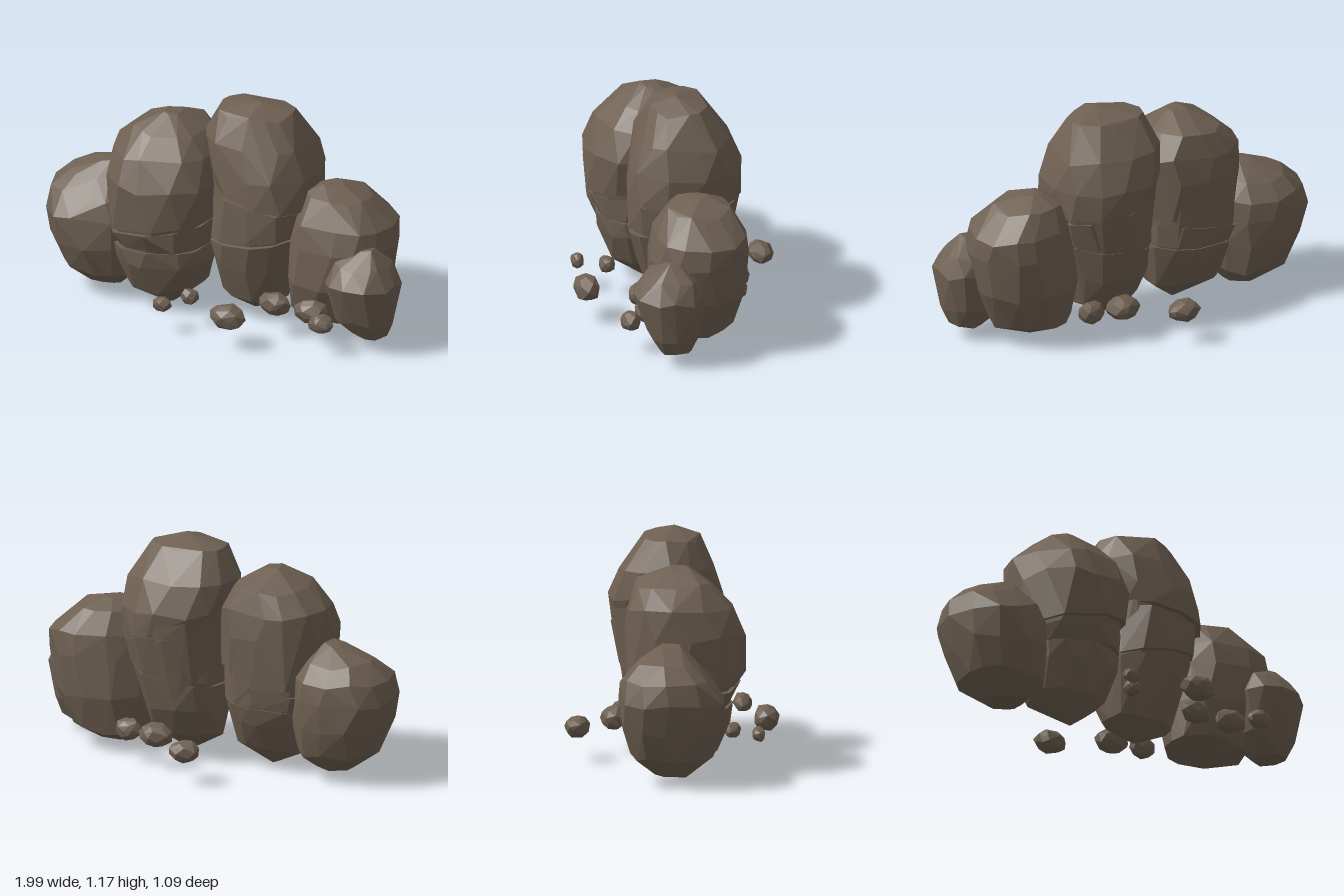
import * as THREE from 'three';
import { ConvexGeometry } from 'three/addons/geometries/ConvexGeometry.js';

const rock = new THREE.MeshStandardMaterial({ color: 0x6e6052, flatShading: true, roughness: 1 });

function seeded(seed) {
  let s = seed * 7919 + 17;
  return () => ((s = (s * 16807) % 2147483647) / 2147483647);
}

// Points of one irregular ring: [y, xMin, xMax, zMin, zMax, tilt of y along x]
function ringPoints([y, x0, x1, z0, z1, tilt = 0], rand, sides = 12) {
  const pts = [];
  for (let i = 0; i < sides; i++) {
    const a = (i + (rand() - 0.5) * 0.5) / sides * Math.PI * 2;
    const c = Math.cos(a), s = Math.sin(a);
    const r = 1.04 - rand() * 0.09;
    const px = Math.sign(c) * Math.abs(c) ** 0.85 * r * (x1 - x0) / 2;
    const pz = Math.sign(s) * Math.abs(s) ** 0.85 * r * (z1 - z0) / 2;
    const wobble = tilt ? 0 : (rand() - 0.5) * 0.03;
    pts.push(new THREE.Vector3((x0 + x1) / 2 + px, y + px * tilt + wobble, (z0 + z1) / 2 + pz));
  }
  return pts;
}

// A boulder is one or more faceted layers; cracked ones get an inner core behind the gaps
function boulder(name, seed, layers) {
  const g = new THREE.Group();
  g.name = name;
  const rand = seeded(seed), all = [];
  layers.forEach((rings, i) => {
    const pts = rings.flatMap((r) => ringPoints(r, rand));
    all.push(...pts);
    const m = new THREE.Mesh(new ConvexGeometry(pts), rock);
    m.name = `${name}Layer${i + 1}`;
    g.add(m);
  });
  if (layers.length > 1) {
    const c = new THREE.Box3().setFromPoints(all).getCenter(new THREE.Vector3());
    const inner = all.map((p) => new THREE.Vector3(
      c.x + (p.x - c.x) * 0.94, c.y + (p.y - c.y) * 0.95, c.z + (p.z - c.z) * 0.94 - 0.012));
    const core = new THREE.Mesh(new ConvexGeometry(inner), rock);
    core.name = `${name}Core`;
    g.add(core);
  }
  return g;
}

// Small loose stone: a dented, stretched hull
function pebble(i, [x, y, z, w, h, d]) {
  const rand = seeded(i + 40), pts = [];
  for (let k = 0; k < 30; k++) {
    const v = 1 - 2 * (k + 0.5) / 30, a = k * 2.4 + rand() * 0.5;
    const r = Math.sqrt(1 - v * v), q = 0.9 + rand() * 0.16;
    pts.push(new THREE.Vector3(r * Math.cos(a) * q * w / 2, v * q * h / 2, r * Math.sin(a) * q * d / 2));
  }
  const m = new THREE.Mesh(new ConvexGeometry(pts), rock);
  m.name = `pebble${i + 1}`;
  m.position.set(x, y, z);
  return m;
}

export function createModel() {
  const model = new THREE.Group();
  model.name = 'rockFormation';

  model.add(boulder('farRightBoulder', 3, [[
    [0.06, -0.76, -0.56, -0.10, 0.10],
    [0.15, -0.90, -0.48, -0.22, 0.20],
    [0.30, -0.95, -0.46, -0.27, 0.26],
    [0.45, -1.00, -0.46, -0.29, 0.26],
    [0.55, -0.97, -0.48, -0.27, 0.20],
    [0.63, -0.88, -0.54, -0.20, 0.12],
    [0.70, -0.72, -0.62, -0.08, 0.04],
  ]]));

  model.add(boulder('rightBoulder', 5, [
    [
      [0.02, -0.33, -0.29, 0.03, 0.07],
      [0.12, -0.53, -0.12, -0.12, 0.22],
      [0.28, -0.58, -0.08, -0.21, 0.29],
      [0.36, -0.59, -0.07, -0.23, 0.31, 0.05],
    ],
    [
      [0.37, -0.58, -0.06, -0.23, 0.30, 0.05],
      [0.47, -0.61, -0.06, -0.25, 0.33, 0.16],
    ],
    [
      [0.50, -0.61, -0.05, -0.25, 0.36, 0.16],
      [0.72, -0.62, -0.03, -0.26, 0.36],
      [0.86, -0.61, -0.06, -0.25, 0.30],
      [0.97, -0.50, -0.13, -0.20, 0.20],
      [1.04, -0.35, -0.26, -0.04, 0.08],
    ],
  ]));

  model.add(boulder('centreBoulder', 8, [
    [
      [0.05, 0.10, 0.16, -0.03, 0.03],
      [0.14, -0.03, 0.33, -0.16, 0.14],
      [0.30, -0.06, 0.37, -0.24, 0.21],
      [0.46, -0.07, 0.42, -0.28, 0.25, 0.15],
    ],
    [
      [0.48, -0.07, 0.43, -0.28, 0.25, 0.15],
      [0.68, -0.06, 0.46, -0.31, 0.25, -0.17],
    ],
    [
      [0.70, -0.06, 0.47, -0.31, 0.27, -0.17],
      [0.82, -0.10, 0.48, -0.33, 0.25],
      [0.97, -0.13, 0.44, -0.28, 0.21],
      [1.12, -0.06, 0.34, -0.16, 0.13],
      [1.16, 0.09, 0.18, -0.05, 0.02],
    ],
  ]));

  model.add(boulder('leftBoulder', 11, [[
    [0.05, 0.50, 0.64, -0.08, 0.06],
    [0.11, 0.36, 0.78, -0.19, 0.18],
    [0.30, 0.34, 0.87, -0.25, 0.25],
    [0.50, 0.36, 0.91, -0.26, 0.26],
    [0.62, 0.39, 0.89, -0.25, 0.23],
    [0.74, 0.43, 0.76, -0.18, 0.14],
    [0.78, 0.50, 0.62, -0.07, 0.03],
  ]]));

  model.add(boulder('farLeftBoulder', 14, [[
    [0.08, 0.76, 0.94, 0.08, 0.24],
    [0.17, 0.67, 0.97, 0.02, 0.30],
    [0.37, 0.62, 1.00, 0.00, 0.37],
    [0.47, 0.67, 0.95, 0.03, 0.30],
    [0.54, 0.79, 0.87, 0.13, 0.21],
  ]]));

  // Loose stones around the base: x, y, z, width, height, depth
  [
    [-0.05, 0.18, -0.485, 0.18, 0.12, 0.13],
    [0.20, 0.18, -0.30, 0.19, 0.13, 0.14],
    [0.37, 0.18, -0.27, 0.15, 0.12, 0.10],
    [-0.09, 0.17, 0.30, 0.10, 0.09, 0.09],
    [-0.185, 0.165, 0.43, 0.11, 0.08, 0.07],
    [0.195, 0.18, 0.47, 0.20, 0.14, 0.14],
    [0.655, 0.175, 0.35, 0.14, 0.11, 0.10],
    [0.55, 0.18, 0.24, 0.20, 0.13, 0.12],
    [0.35, 0.18, 0.23, 0.18, 0.13, 0.11],
  ].forEach((p, i) => model.add(pebble(i, p)));

  return model;
}
